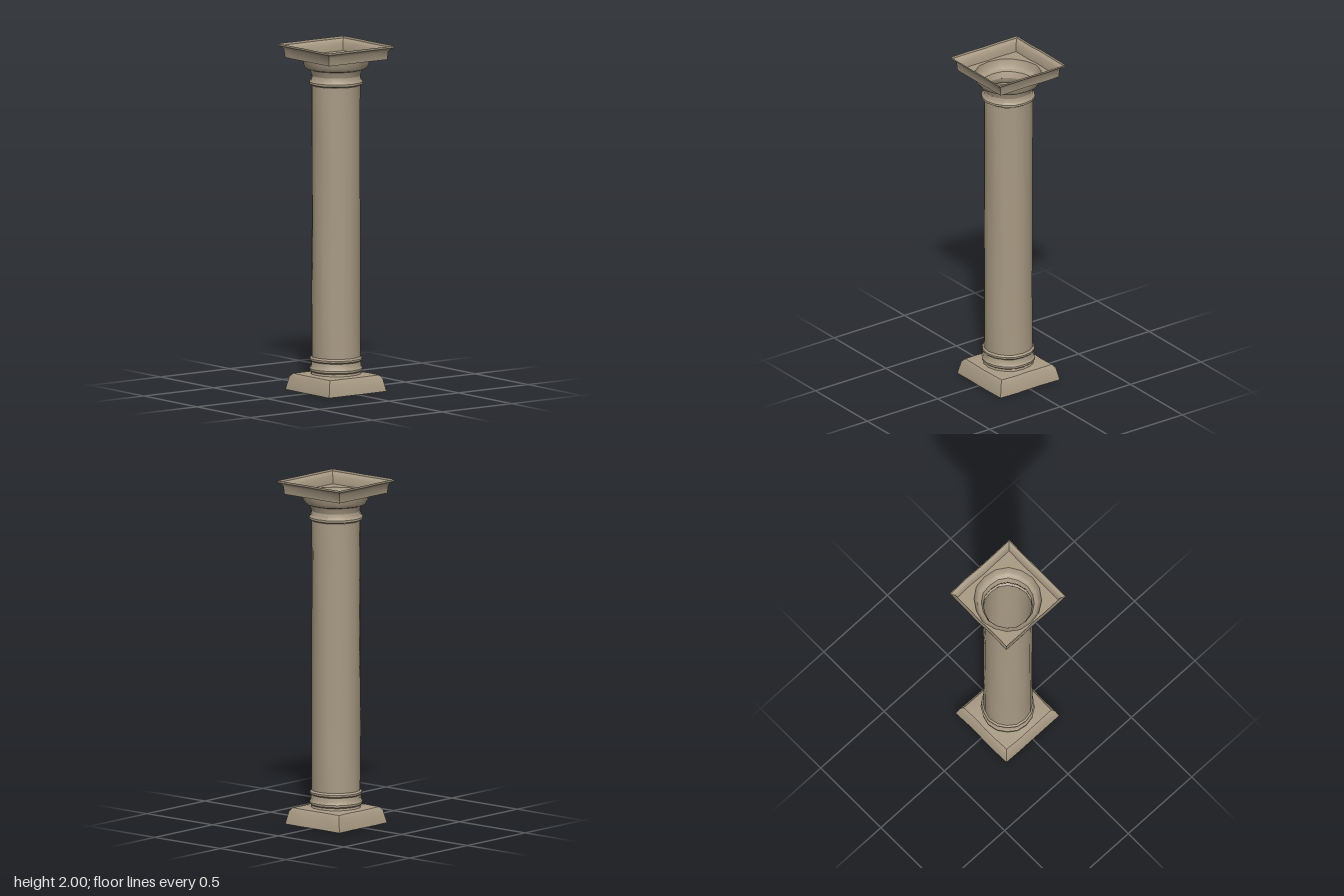
import * as THREE from 'three';
import { toCreasedNormals } from 'three/addons/utils/BufferGeometryUtils.js';

const SIDES = 16;

// Gentle hand-carved unevenness, repeating cleanly around the column
function wobble(i, y) {
  return Math.sin(i * 2.4 + y * 4.1) * 0.6 + Math.sin(i * 4.3 - y * 7.7 + 1) * 0.4;
}

// Open shell swept from a profile of [radius, height, squareness]:
// squareness 0 gives a round section, 1 a square one of that half width
function shell(name, profile, material, amount) {
  const points = profile.map(([r, y]) => new THREE.Vector2(r, y));
  const geometry = new THREE.LatheGeometry(points, SIDES);
  const pos = geometry.attributes.position;
  for (let i = 0; i <= SIDES; i++) {
    const side = i % SIDES;
    const angle = (side / SIDES) * Math.PI * 2;
    const s = Math.sin(angle), c = Math.cos(angle);
    const toSquare = 1 / Math.max(Math.abs(s), Math.abs(c));
    profile.forEach(([r, y, square = 0], j) => {
      const radius = (r + amount * wobble(side, y)) * THREE.MathUtils.lerp(1, toSquare, square);
      pos.setXYZ(i * profile.length + j, s * radius, y, c * radius);
    });
  }
  const mesh = new THREE.Mesh(toCreasedNormals(geometry, 0.65), material);
  mesh.name = name;
  return mesh;
}

export function createModel() {
  const column = new THREE.Group();
  column.name = 'column';
  const stone = new THREE.MeshStandardMaterial({ color: 0xa89a84, side: THREE.DoubleSide });
  stone.name = 'weathered stone';

  // Square plinth, open underneath, with a worn upper edge
  column.add(shell('plinth', [
    [0.208, 0, 1], [0.192, 0.075, 1], [0.178, 0.094, 0.96], [0.145, 0.1, 0],
  ], stone, 0.003));

  // Base mouldings between plinth and shaft
  column.add(shell('baseMoulding', [
    [0.145, 0.1], [0.142, 0.112], [0.153, 0.12], [0.154, 0.132], [0.146, 0.142],
    [0.142, 0.172], [0.151, 0.18], [0.151, 0.19], [0.141, 0.2],
  ], stone, 0.002));

  // Hollow shaft
  const shaft = [];
  for (let k = 0; k <= 8; k++) shaft.push([0.141 - 0.0015 * Math.sin((k / 8) * Math.PI), 0.2 + k * 0.1962]);
  column.add(shell('shaft', shaft, stone, 0.002));

  // Neck ring and flaring round cushion under the slab
  column.add(shell('neckRing', [
    [0.141, 1.77], [0.155, 1.778], [0.155, 1.79], [0.144, 1.802], [0.14, 1.825],
  ], stone, 0.002));
  column.add(shell('cushion', [
    [0.14, 1.825], [0.146, 1.845], [0.152, 1.86], [0.174, 1.867], [0.187, 1.885], [0.194, 1.92],
  ], stone, 0.003));

  // Square slab: floor with a round opening, then a stepped, open-topped rim
  column.add(shell('capitalSlab', [
    [0.194, 1.92, 0], [0.208, 1.92, 1], [0.212, 1.968, 1], [0.222, 1.98, 1], [0.234, 1.988, 1], [0.236, 2, 1],
  ], stone, 0.003));

  return column;
}
